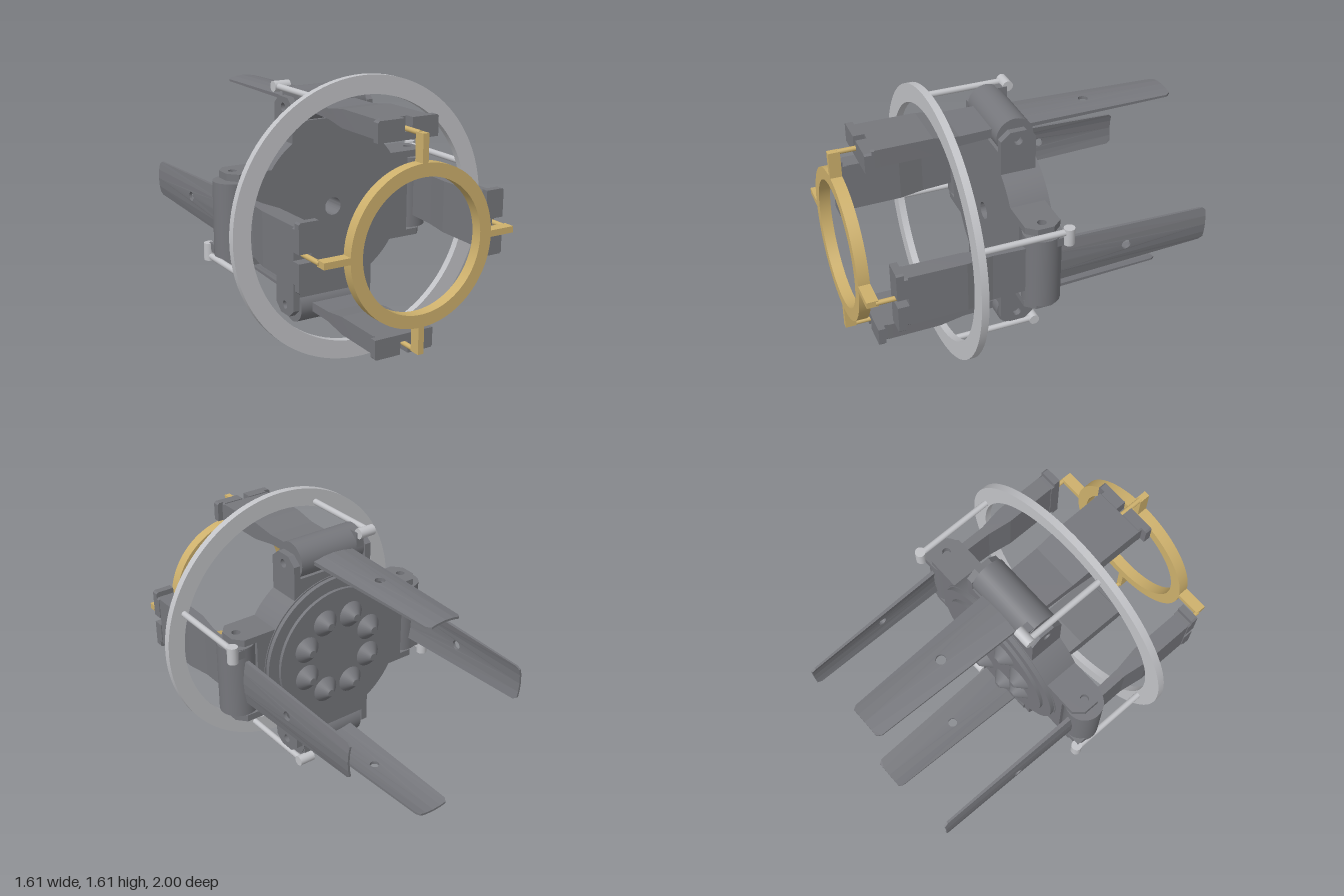
import * as THREE from 'three';
import { toCreasedNormals } from 'three/addons/utils/BufferGeometryUtils.js';

const dark = new THREE.MeshStandardMaterial({ name: 'dark grey', color: 0x76777c });
const silver = new THREE.MeshStandardMaterial({ name: 'silver', color: 0xc2c3c7 });
const gold = new THREE.MeshStandardMaterial({ name: 'gold', color: 0xcdb06c });

function add(parent, name, geometry, material, x = 0, y = 0, z = 0) {
  const mesh = new THREE.Mesh(geometry, material);
  mesh.name = name;
  mesh.position.set(x, y, z);
  parent.add(mesh);
  return mesh;
}

const box = (w, h, d) => new THREE.BoxGeometry(w, h, d);
const rodZ = (r, len, sides = 24) => new THREE.CylinderGeometry(r, r, len, sides).rotateX(Math.PI / 2);
const rodX = (r, len, sides = 24) => new THREE.CylinderGeometry(r, r, len, sides).rotateZ(Math.PI / 2);
const extrude = (shape, depth, curveSegments = 12) =>
  new THREE.ExtrudeGeometry(shape, { depth, bevelEnabled: false, curveSegments });
const polygon = (pts) => new THREE.Shape(pts.map(([x, y]) => new THREE.Vector2(x, y)));

// Flat ring with its back at z = 0
function ring(outer, inner, depth) {
  const shape = new THREE.Shape().absarc(0, 0, outer, 0, Math.PI * 2);
  shape.holes.push(new THREE.Path().absarc(0, 0, inner, 0, Math.PI * 2, true));
  return toCreasedNormals(extrude(shape, depth, 48), 0.6);
}

// Solid through rectangular sections [z, half width, low, high], front to back
function loft(sections) {
  const pos = [], index = [];
  for (const [z, w, lo, hi] of sections) pos.push(-w, lo, z, w, lo, z, w, hi, z, -w, hi, z);
  for (let s = 0; s < sections.length - 1; s++) {
    for (let k = 0; k < 4; k++) {
      const a = s * 4 + k, b = s * 4 + (k + 1) % 4;
      index.push(a, a + 4, b, b, a + 4, b + 4);
    }
  }
  const e = pos.length / 3 - 4;
  index.push(0, 1, 2, 0, 2, 3, e, e + 2, e + 1, e, e + 3, e + 2);
  const g = new THREE.BufferGeometry();
  g.setAttribute('position', new THREE.Float32BufferAttribute(pos, 3));
  g.setIndex(index);
  return toCreasedNormals(g, 0.05);
}

// Lengthwise strip of the arched rear blade; side is 1 or -1
function bladeStrip(side, inner) {
  const h0 = 0.137, h1 = 0.107;
  const pts = inner
    ? [[0, 0], [h0 / 2, 0], [h1 / 2, 1], [0, 1]]
    : [[h0 / 2, 0], [h0, 0], [h1, 0.975], [h1 * 0.85, 1], [h1 / 2, 1]];
  if (inner) {
    for (let i = 0; i <= 10; i++) {
      const a = Math.PI / 2 - (i / 10) * Math.PI;
      pts.push([0.028 * Math.cos(a), 0.49 + 0.028 * Math.sin(a)]);
    }
  }
  const g = extrude(polygon(pts.map(([x, y]) => [x * side, y])), 1).rotateX(-Math.PI / 2);
  const p = g.attributes.position;
  for (let i = 0; i < p.count; i++) {
    const v = -p.getZ(i), f = p.getX(i) / (h0 + (h1 - h0) * v);
    const top = 0.62 - 0.014 * v - 0.016 * f * f;
    p.setY(i, top - (1 - p.getY(i)) * (0.024 - 0.012 * v));
  }
  g.computeVertexNormals();
  return g;
}

// Block with a notch in its outer face
const notched = (w, depth) => extrude(polygon([[-w, 0.53], [w, 0.53], [w, 0.635], [w - 0.01, 0.645],
  [0.024, 0.645], [0.024, 0.572], [-0.024, 0.572], [-0.024, 0.645], [0.01 - w, 0.645], [-w, 0.635]]), depth);

// One finger unit: hinge, finger, control rod
function createFinger() {
  const unit = new THREE.Group();
  unit.name = 'finger';

  // Hinge bracket with two drilled lugs
  add(unit, 'bracketBlock', box(0.53, 0.24, 0.205), dark, 0, 0.4, 0.0175);
  const lug = polygon([[-0.085, 0.4], [0.12, 0.4], [0.12, 0.6], [0.065, 0.647], [-0.03, 0.647], [-0.085, 0.6]]);
  lug.holes.push(new THREE.Path().absarc(0.0175, 0.588, 0.025, 0, Math.PI * 2, true));
  const lugGeometry = extrude(lug, 0.04).rotateY(-Math.PI / 2);
  add(unit, 'lug', lugGeometry, dark, 0.265);
  add(unit, 'lug', lugGeometry, dark, -0.225);
  add(unit, 'hingeBarrel', rodX(0.108, 0.43, 40), dark, 0, 0.592, 0.0175);

  // Finger: thick front part, notched foot, thin rear blade
  add(unit, 'fingerFront', loft([[0.785, 0.155, 0.535, 0.64], [0.46, 0.152, 0.535, 0.64],
    [0.31, 0.146, 0.558, 0.617], [0, 0.137, 0.57, 0.62]]), dark);
  add(unit, 'fingerEnd', notched(0.155, 0.025), dark, 0, 0, 0.785);
  add(unit, 'foot', notched(0.187, 0.042), dark, 0, 0, 0.807);
  for (const side of [1, -1]) {
    add(unit, 'blade', bladeStrip(side, true), dark);
    add(unit, 'blade', bladeStrip(side, false), dark);
  }

  // Control rod and its joint
  add(unit, 'crankLug', box(0.05, 0.09, 0.06), dark, -0.185, 0.645, -0.06);
  add(unit, 'rodJoint', rodX(0.031, 0.1), silver, -0.215, 0.687, -0.098);
  add(unit, 'controlRod', rodZ(0.018, 0.52, 20), silver, -0.24, 0.687, 0.155);

  // Spoke and pin of the front ring
  add(unit, 'spoke', box(0.036, 0.17, 0.065), gold, 0, 0.507, 0.9675);
  add(unit, 'pin', rodZ(0.014, 0.17, 16), gold, 0, 0.585, 0.865);
  return unit;
}

export function createModel() {
  const model = new THREE.Group();
  model.name = 'gripper';
  const body = new THREE.Group();
  body.name = 'body';
  body.position.y = 0.806;
  model.add(body);

  // Hub with a shallow centre hole in front and stepped plates behind
  add(body, 'hub', ring(0.478, 0.052, 0.21), dark, 0, 0, -0.09);
  add(body, 'backPlate', rodZ(0.47, 0.03, 64), dark, 0, 0, -0.1);
  add(body, 'backDisc', rodZ(0.402, 0.03, 64), dark, 0, 0, -0.12);

  // Circle of blunt cones on the back
  for (let i = 0; i < 8; i++) {
    const a = (i + 0.5) * Math.PI / 4;
    add(body, 'cone', new THREE.CylinderGeometry(0.022, 0.082, 0.06, 28).rotateX(-Math.PI / 2),
      dark, 0.238 * Math.cos(a), 0.238 * Math.sin(a), -0.163);
  }

  // Rings
  add(body, 'controlRing', ring(0.806, 0.7, 0.042), silver, 0, 0, 0.404);
  add(body, 'frontRing', ring(0.44, 0.368, 0.065), gold, 0, 0, 0.935);

  // Four fingers around the axis
  for (let i = 0; i < 4; i++) {
    const finger = createFinger();
    finger.rotation.z = i * Math.PI / 2;
    body.add(finger);
  }
  return model;
}
